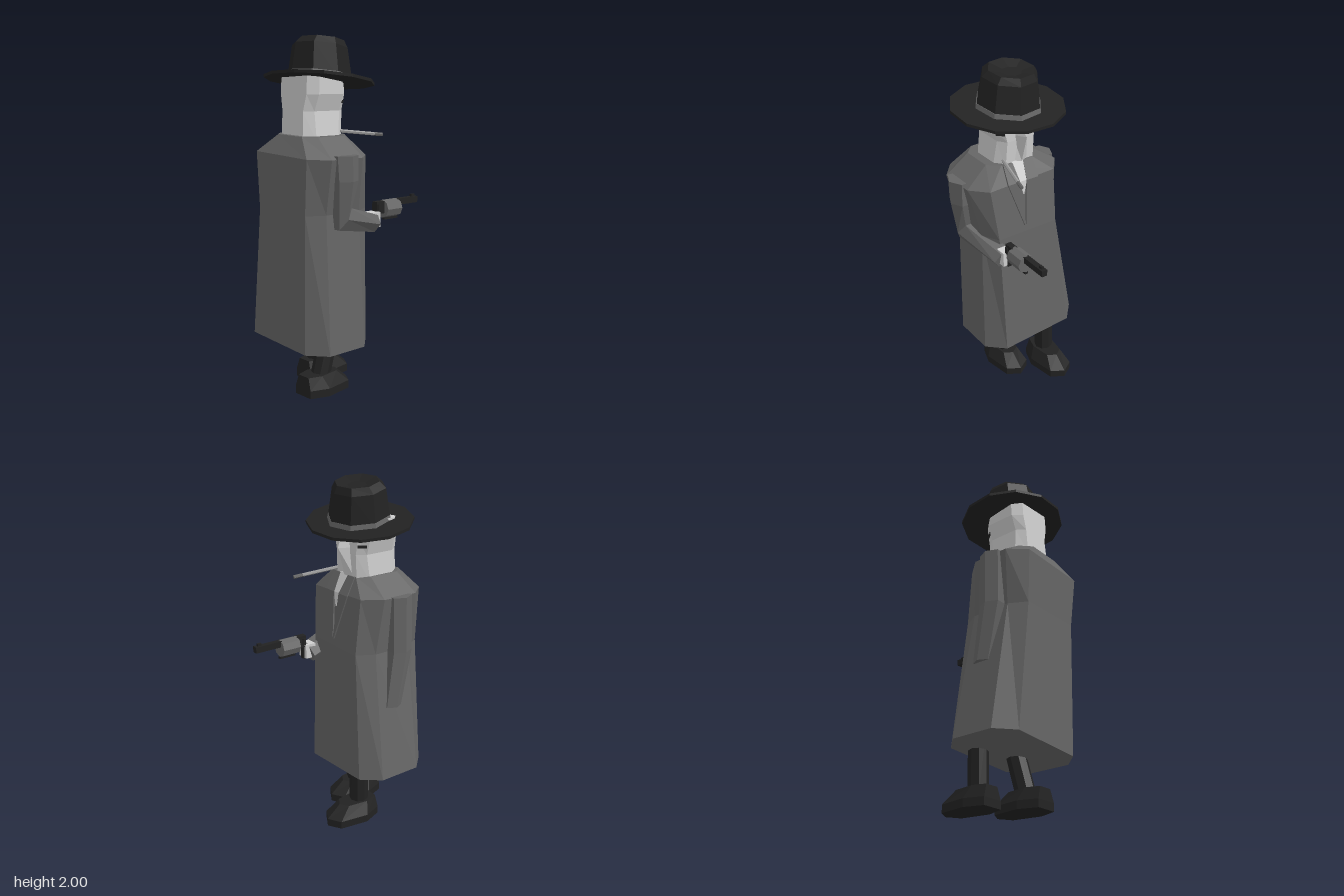
import * as THREE from 'three';

const mat = (name, color) => Object.assign(new THREE.MeshStandardMaterial({ color }), { name });

// Flat facets: every triangle keeps its own normal
function flat(geo) {
  const g = geo.index ? geo.toNonIndexed() : geo;
  g.computeVertexNormals();
  return g;
}

// Closed skin over a list of rings with equal point counts; turned outward by its signed volume
function loft(rings) {
  const tris = [];
  const n = rings[0].length;
  for (let i = 0; i < rings.length - 1; i++) {
    for (let j = 0; j < n; j++) {
      const k = (j + 1) % n;
      const a = rings[i][j], b = rings[i][k], c = rings[i + 1][k], d = rings[i + 1][j];
      tris.push([a, c, b], [a, d, c]);
    }
  }
  const mid = r => [0, 1, 2].map(i => r.reduce((s, p) => s + p[i], 0) / n);
  const first = rings[0], last = rings[rings.length - 1];
  const m0 = mid(first), m1 = mid(last);
  for (let j = 0; j < n; j++) {
    const k = (j + 1) % n;
    tris.push([m0, first[j], first[k]], [m1, last[k], last[j]]);
  }
  const V = p => new THREE.Vector3(...p);
  const volume = tris.reduce((s, [a, b, c]) => s + V(a).sub(V(m0)).dot(V(b).sub(V(m0)).cross(V(c).sub(V(m0)))), 0);
  if (volume < 0) tris.forEach(t => t.reverse());
  const geo = new THREE.BufferGeometry();
  geo.setAttribute('position', new THREE.Float32BufferAttribute(tris.flat(2), 3));
  return flat(geo);
}

// Rectangle with cut corners, lying at height y
const octo = (y, x0, x1, z0, z1, cx, cz, tilt = 0) => [
  [x0 + cx, z0], [x1 - cx, z0], [x1, z0 + cz], [x1, z1 - cz],
  [x1 - cx, z1], [x0 + cx, z1], [x0, z1 - cz], [x0, z0 + cz],
].map(([x, z]) => [x, y + tilt * x, z]);

// Plain rectangle at height y
const rect = (y, x0, x1, z0, z1) => [[x0, y, z0], [x1, y, z0], [x1, y, z1], [x0, y, z1]];

// Six-sided sleeve ring, pitched around x
const sleeve = (x, y, z, a, b, pitch = 0) => Array.from({ length: 6 }, (_, i) => {
  const t = i * Math.PI / 3, s = b * Math.sin(t);
  return [x + a * Math.cos(t), y + s * Math.sin(pitch), z + s * Math.cos(pitch)];
});

// The hat sits on a tilted plane
const hatPoint = (x, y, z) => [x, y + 0.167 * (z - 0.158) + 0.05 * (x - 0.01), z];
const hatRing = (y, cx, cz, rx, rz, n = 8, turn = 0.17) => Array.from({ length: n }, (_, i) => {
  const t = turn + i * 2 * Math.PI / n;
  return hatPoint(cx + rx * Math.cos(t), y, cz + rz * Math.sin(t));
});

export function createModel() {
  const root = new THREE.Group();
  const black = mat('black felt and leather', 0x222222);
  const coat = mat('grey coat', 0x666666);
  const skin = mat('pale skin', 0xcfcfcf);
  const paper = mat('cigarette grey', 0x9a9a9a);

  const add = (name, geo, material, parent = root) => {
    const mesh = new THREE.Mesh(geo, material);
    mesh.name = name;
    parent.add(mesh);
    return mesh;
  };
  const box = (name, x0, x1, y0, y1, z0, z1, material, parent) =>
    add(name, loft([rect(y0, x0, x1, z0, z1), rect(y1, x0, x1, z0, z1)]), material, parent);
  const rod = (name, from, to, r, sides, material, parent) => {
    const a = new THREE.Vector3(...from), b = new THREE.Vector3(...to);
    const mesh = add(name, flat(new THREE.CylinderGeometry(r, r, a.distanceTo(b), sides)), material, parent);
    mesh.position.copy(a).add(b).multiplyScalar(0.5);
    mesh.quaternion.setFromUnitVectors(new THREE.Vector3(0, 1, 0), b.sub(a).normalize());
    return mesh;
  };

  // Long coat, its hem swung to one side
  add('coat', loft([
    octo(0.303, -0.37, 0.275, -0.045, 0.41, 0.095, 0.1, -0.06),
    octo(1.06, -0.245, 0.255, -0.015, 0.42, 0.055, 0.1),
    octo(1.37, -0.277, 0.318, 0.015, 0.435, 0.085, 0.1, -0.04),
    octo(1.472, -0.135, 0.185, 0.07, 0.375, 0.06, 0.06, -0.03),
  ]), coat);

  // Lapels forming a V, and the shirt showing at the throat
  for (const s of [-1, 1]) {
    const strip = (y, a, b, z) => rect(y, 0.02 + s * a, 0.02 + s * b, z - 0.009, z + 0.01);
    add(s > 0 ? 'leftLapel' : 'rightLapel', loft([
      strip(1.1, 0, 0.008, -0.011), strip(1.37, 0.022, 0.1, 0.015), strip(1.47, 0.035, 0.095, 0.07),
    ]), coat);
  }
  add('shirt', loft([
    rect(1.29, 0.018, 0.022, 0.002, 0.012), rect(1.37, -0.005, 0.045, 0.009, 0.02), rect(1.474, -0.02, 0.06, 0.064, 0.075),
  ]), skin);

  // Left arm raised and bent, right arm hanging into the pocket
  add('leftSleeve', loft([
    sleeve(0.29, 1.375, 0.23, 0.073, 0.085),
    sleeve(0.295, 1.24, 0.225, 0.067, 0.08),
    sleeve(0.265, 1.035, 0.225, 0.062, 0.08, -0.96),
    sleeve(0.2, 0.968, -0.07, 0.072, 0.056, -1.29),
  ]), coat);
  add('rightSleeve', loft([
    sleeve(-0.265, 1.385, 0.23, 0.06, 0.075),
    sleeve(-0.27, 1.065, 0.235, 0.062, 0.075),
    sleeve(-0.275, 0.74, 0.18, 0.055, 0.06),
  ]), coat);

  // Head with a broad brow and ridged face
  const head = new THREE.Group();
  head.name = 'head';
  root.add(head);
  add('skull', loft([
    octo(1.44, -0.13, 0.14, 0.07, 0.345, 0.045, 0.06),
    octo(1.60, -0.122, 0.122, 0.06, 0.335, 0.035, 0.05),
    octo(1.69, -0.15, 0.155, 0.06, 0.33, 0.045, 0.05),
    octo(1.79, -0.15, 0.155, 0.07, 0.325, 0.045, 0.05),
  ]), skin, head);
  const ridge = (y, w, z) => [[-w, y, 0.075], [0, y, z], [w, y, 0.075]];
  add('noseRidge', loft([ridge(1.47, 0.05, 0.05), ridge(1.63, 0.045, 0.003), ridge(1.76, 0.04, 0.05)]), skin, head);
  for (const s of [-1, 1]) {
    const eye = add(s > 0 ? 'leftEye' : 'rightEye', flat(new THREE.BoxGeometry(0.05, 0.014, 0.009)), black, head);
    eye.position.set(s * 0.117, 1.648, 0.082);
    eye.rotation.y = -s * 0.82;
  }

  // Cigarette
  rod('cigarette', [0.1, 1.487, 0.085], [0.152, 1.463, -0.13], 0.01, 6, paper, head);
  rod('cigaretteTip', [0.152, 1.463, -0.13], [0.164, 1.457, -0.182], 0.0105, 6, coat, head);

  // Hat: twelve-sided brim, grey band, dented crown
  const hat = new THREE.Group();
  hat.name = 'hat';
  root.add(hat);
  add('brim', loft([1.755, 1.771].map(y => hatRing(y, 0.011, 0.158, 0.338, 0.275, 12, 0.2))), black, hat);
  add('hatBand', loft([
    hatRing(1.765, 0.013, 0.155, 0.196, 0.176), hatRing(1.797, 0.013, 0.154, 0.189, 0.169),
  ]), coat, hat);
  add('crown', loft([
    hatRing(1.765, 0.013, 0.155, 0.192, 0.172),
    hatRing(1.945, 0.007, 0.148, 0.163, 0.146),
    hatRing(1.984, 0.006, 0.135, 0.135, 0.118),
    hatRing(1.965, 0.003, 0.135, 0.06, 0.05),
  ]), black, hat);

  // Legs and boots, the right foot a step ahead
  const half = [[0.065, 0.16], [0.104, 0.05], [0.076, -0.12]];
  const sole = [...half, [0, -0.165], ...half.map(([x, z]) => [-x, z]).reverse()];
  const stance = [['left', 0.053, 0.16, 0.195, 0.1], ['right', -0.157, -0.02, 0.043, 0.043]];
  for (const [side, x, bootZ, ankleZ, hipZ] of stance) {
    rod(side + 'Leg', [x, 0.08, ankleZ], [x, 0.42, hipZ], 0.056, 8, black);
    const outline = (y, sx, sz, dz) => sole.map(([px, pz]) => [x + px * sx, y, bootZ + dz + pz * sz]);
    add(side + 'Boot', loft([outline(0, 1, 1, 0), outline(0.045, 1, 1, 0), outline(0.115, 0.66, 0.72, 0.04)]), black);
  }

  // Hand holding a revolver
  box('leftHand', 0.165, 0.235, 0.945, 1.03, -0.105, -0.04, skin);
  const gun = new THREE.Group();
  gun.name = 'revolver';
  root.add(gun);
  box('gunFrame', 0.18, 0.216, 1.015, 1.085, -0.16, -0.095, black, gun);
  box('gunHammer', 0.172, 0.222, 1.03, 1.07, -0.12, -0.1, black, gun);
  box('gunGrip', 0.185, 0.211, 0.94, 1.03, -0.112, -0.08, black, gun);
  rod('gunCylinder', [0.197, 1.038, -0.153], [0.197, 1.038, -0.268], 0.052, 8, coat, gun);
  box('gunBarrel', 0.18, 0.213, 1.05, 1.086, -0.432, -0.26, black, gun);
  box('gunSight', 0.19, 0.204, 1.08, 1.1, -0.415, -0.39, black, gun);
  box('triggerGuard', 0.187, 0.207, 0.975, 0.987, -0.27, -0.165, black, gun);
  return root;
}
